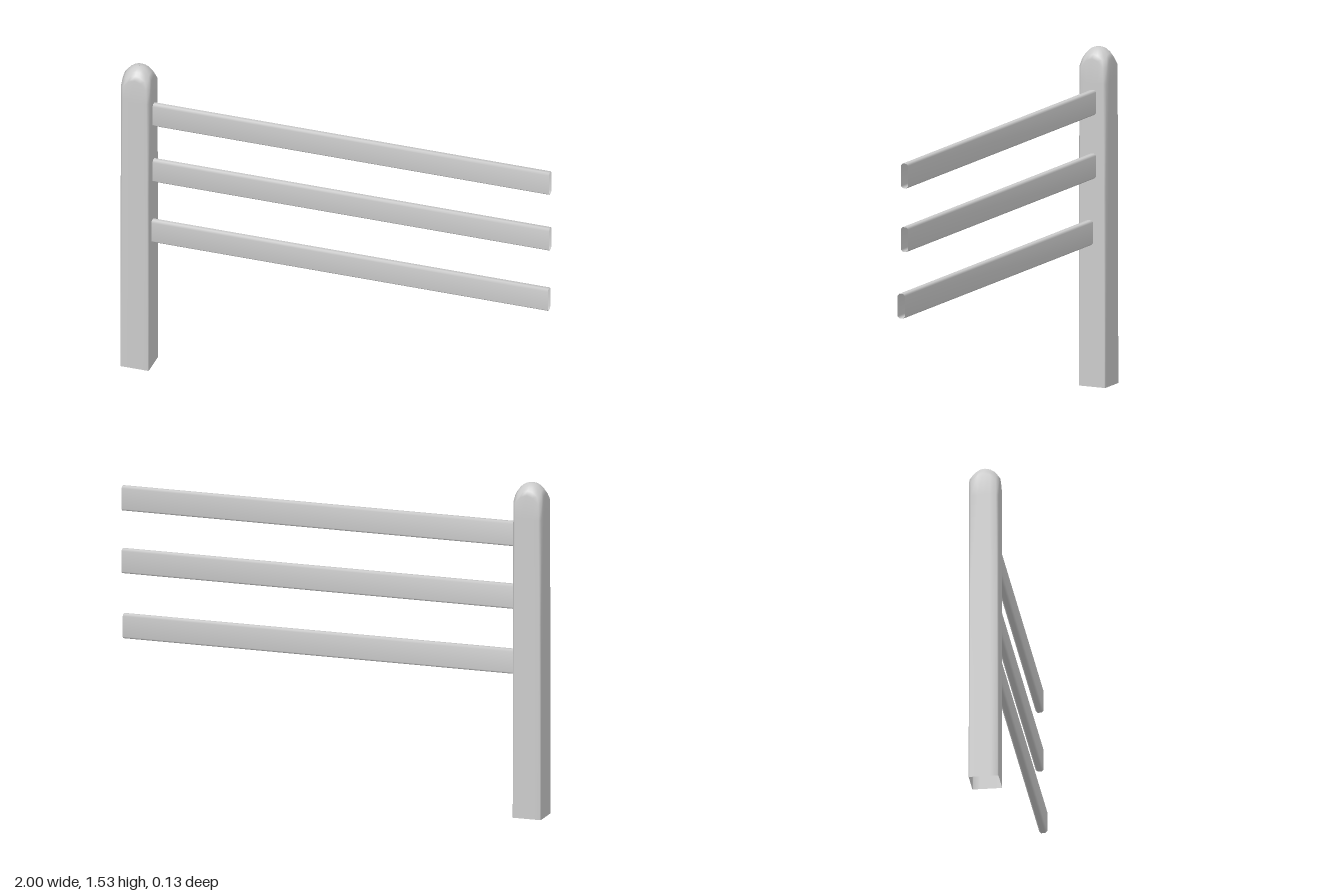
import * as THREE from 'three';

const material = new THREE.MeshStandardMaterial({ color: 0xcccccc, side: THREE.DoubleSide });

// Chamfered rectangle outline in x/z, with points along every side.
function section(hx, hz, bevel, steps = 4) {
  const corners = [[hx, -hz + bevel], [hx, hz - bevel], [hx - bevel, hz], [-hx + bevel, hz],
    [-hx, hz - bevel], [-hx, -hz + bevel], [-hx + bevel, -hz], [hx - bevel, -hz]];
  const points = [];
  corners.forEach(([x, z], i) => {
    const [nx, nz] = corners[(i + 1) % 8];
    const n = i % 2 ? 1 : steps;
    for (let k = 0; k < n; k++) points.push([x + (nx - x) * k / n, z + (nz - z) * k / n]);
  });
  return points;
}

// Smooth open skin through rings of [x, y, z] points, listed bottom to top.
function loft(rings) {
  const n = rings[0].length;
  const index = [];
  for (let r = 0; r < rings.length - 1; r++) {
    for (let i = 0; i < n; i++) {
      const a = r * n + i, b = r * n + (i + 1) % n;
      index.push(a, a + n, b, b, a + n, b + n);
    }
  }
  const geometry = new THREE.BufferGeometry();
  geometry.setAttribute('position', new THREE.Float32BufferAttribute(rings.flat(2), 3));
  geometry.setIndex(index);
  geometry.computeVertexNormals();
  return geometry;
}

function addPart(group, name, geometry, x, y, z) {
  const mesh = new THREE.Mesh(geometry, material);
  mesh.name = name;
  mesh.position.set(x, y, z);
  group.add(mesh);
}

export function createModel() {
  const group = new THREE.Group();
  group.name = 'fenceSection';

  // Square post, open underneath, with a domed top that dips at the corners
  const half = 0.067, height = 1.535;
  const rings = [[0, 0.004], [0.9, 0.007], [1.38, 0.011]].map(([y, bevel]) =>
    section(half, half, bevel).map(([x, z]) => [x, y, z]));
  const top = section(half, half, 0.012);
  for (const f of [1, 0.8, 0.6, 0.4, 0.2, 0.01]) {
    rings.push(top.map(([x, z]) => {
      const r = Math.hypot(x, z) * f;
      return [x * f, height - 0.045 * Math.pow(r / half, 2.4), z * f];
    }));
  }
  addPart(group, 'post', loft(rings), -1 + half, 0, 0);

  // Three hollow rails running from the post; the lowest sits slightly forward
  const length = 1.87;
  const outline = section(0.056, 0.018, 0.009, 1);
  const rail = loft([0, length].map(y => outline.map(([x, z]) => [x, y, z])));
  rail.rotateZ(-Math.PI / 2);
  [['topRail', 1.293, -0.004], ['middleRail', 1.004, -0.004], ['bottomRail', 0.7, 0.012]]
    .forEach(([name, y, z]) => addPart(group, name, rail, 1 - length, y, z));

  return group;
}
